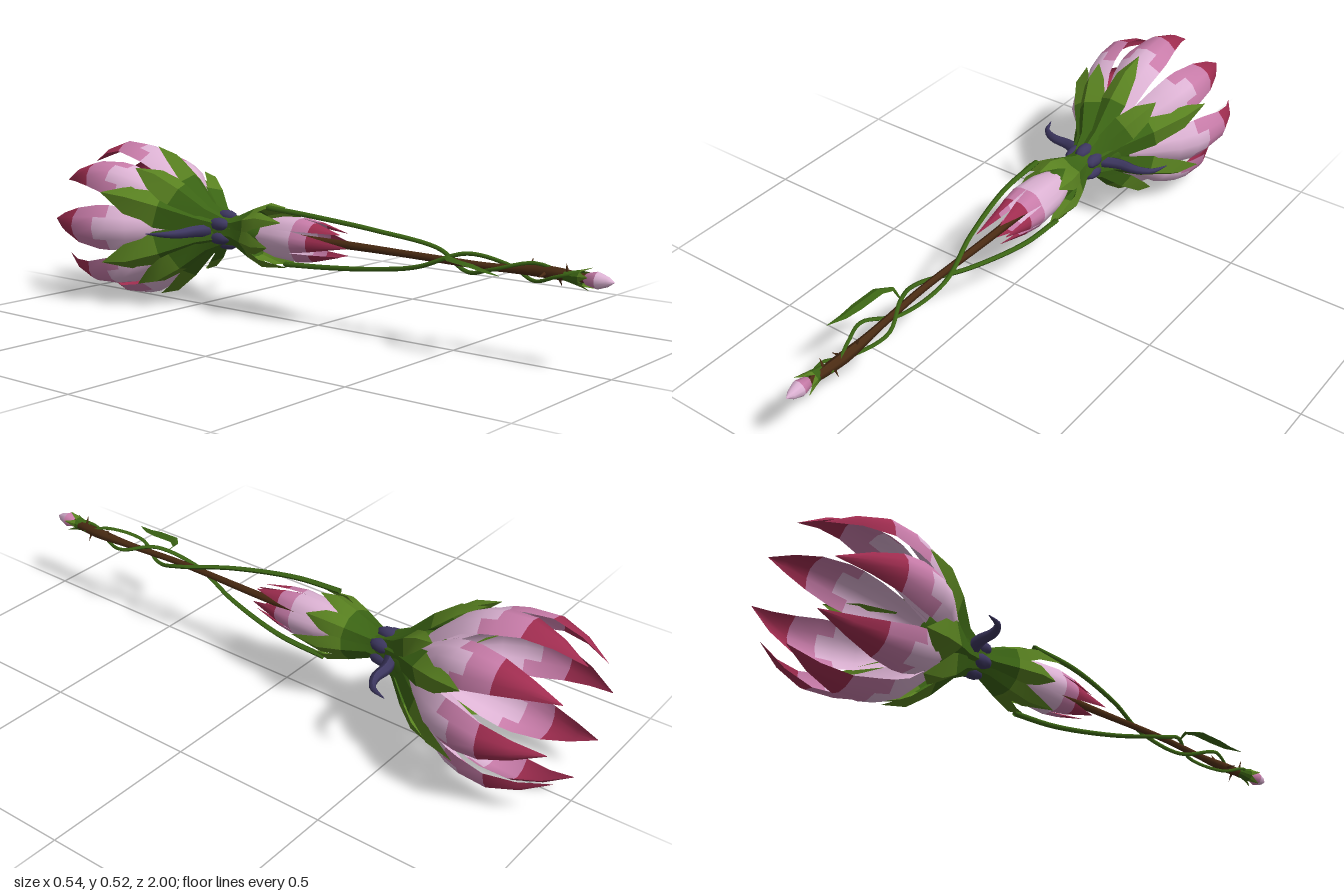
import * as THREE from 'three';
import { toCreasedNormals } from 'three/addons/utils/BufferGeometryUtils.js';

const AXIS_Y = 0.262; // height of the staff's long axis, which runs along z

function mat(name, color, side = THREE.FrontSide) {
  const m = new THREE.MeshStandardMaterial({ color, side });
  m.name = name;
  return m;
}

const D = THREE.DoubleSide;
const pale = mat('palePink', 0xdcb2d3, D);
const pink = mat('rosePink', 0xc87ca9, D);
const crimson = mat('crimson', 0xa02d50, D);
const leafGreen = mat('leafGreen', 0x588020, D);
const darkGreen = mat('darkGreen', 0x3b6414, D);
const purple = mat('dusk purple', 0x3d3760);
const brown = mat('stemBrown', 0x4a2b13);

// Petal or leaf: rows of [z, radius, halfWidth, sideways offset]. Each band between rows has one
// material, or a pair [edges, centre]. The cross-section is an arch, or a fold along the midrib.
function blade(name, rows, bands, { drop = 0.4, cols = 4, angle = 90, fold = false } = {}) {
  const pos = [], idx = [];
  const mats = [...new Set(bands.flat())];
  const geo = new THREE.BufferGeometry();
  rows.forEach(([z, r, w, off = 0], i) => {
    const a = rows[Math.max(0, i - 1)], b = rows[Math.min(rows.length - 1, i + 1)];
    const dz = b[0] - a[0], dr = b[1] - a[1], len = Math.hypot(dz, dr);
    const nz = -dr * Math.sign(dz) / len, nr = Math.abs(dz) / len;
    for (let c = 0; c <= cols; c++) {
      const u = (c / cols) * 2 - 1;
      const d = drop * w * (fold ? Math.abs(u) : u * u);
      pos.push(off + u * w, r - nr * d, z - nz * d);
    }
  });
  const dir = Math.sign(rows[rows.length - 1][0] - rows[0][0]);
  for (let i = 0; i < rows.length - 1; i++) {
    const [edge, centre = edge] = [bands[i]].flat();
    for (let c = 0; c < cols; c++) {
      const p = i * (cols + 1) + c, q = p + 1, s = p + cols + 1, t = s + 1;
      geo.addGroup(idx.length, 6, mats.indexOf(c === 0 || c === cols - 1 ? edge : centre));
      if (dir > 0) idx.push(p, s, q, q, s, t);
      else idx.push(p, q, s, q, t, s);
    }
  }
  geo.setAttribute('position', new THREE.Float32BufferAttribute(pos, 3));
  geo.setIndex(idx);
  const mesh = new THREE.Mesh(toCreasedNormals(geo, fold ? 0.6 : 0.9), mats);
  mesh.name = name;
  mesh.rotation.z = THREE.MathUtils.degToRad(angle - 90);
  return mesh;
}

// Tube along points whose thickness follows radiusAt(t)
function taperTube(name, points, radiusAt, material, segs = 24, sides = 6) {
  const path = new THREE.CatmullRomCurve3(points.map((p) => new THREE.Vector3(...p)));
  const geo = new THREE.TubeGeometry(path, segs, 1, sides);
  const p = geo.attributes.position, v = new THREE.Vector3();
  for (let i = 0; i < p.count; i++) {
    const t = Math.floor(i / (sides + 1)) / segs, c = path.getPointAt(t);
    v.fromBufferAttribute(p, i).sub(c).multiplyScalar(radiusAt(t)).add(c);
    p.setXYZ(i, v.x, v.y, v.z);
  }
  geo.computeVertexNormals();
  const mesh = new THREE.Mesh(geo, material);
  mesh.name = name;
  return mesh;
}

// Turned part around the long axis: points are [radius, z]
function turned(name, points, material, sides = 10) {
  const geo = new THREE.LatheGeometry(points.map(([r, z]) => new THREE.Vector2(r, z)), sides);
  const mesh = new THREE.Mesh(geo.rotateX(Math.PI / 2), material);
  mesh.name = name;
  return mesh;
}

export function createModel() {
  const model = new THREE.Group();
  model.name = 'flowerStaff';
  const staff = new THREE.Group();
  staff.name = 'staff';
  staff.position.y = AXIS_Y;
  model.add(staff);

  // Large blossom: eight arched petals, the two sideways ones a little wider spread
  for (let k = 0; k < 8; k++) {
    const f = k % 4 === 0 ? 1.035 : 1;
    const w = k % 2 ? 0.92 : 1;
    const petal = [[-0.46, 0.04, 0.025], [-0.54, 0.125, 0.05], [-0.63, 0.21, 0.069], [-0.69, 0.241, 0.074],
      [-0.74, 0.254, 0.073], [-0.83, 0.26, 0.058], [-0.92, 0.23, 0.032], [-1, 0.18, 0.001]]
      .map(([z, r, h]) => [z, r * f, h * w]);
    staff.add(blade('blossomPetal', petal, [pale, pale, pale, [pink, pale], pink, crimson, crimson],
      { angle: k * 45, drop: 0.52 }));
  }

  // Green cup holding the blossom, narrowing to the node
  staff.add(turned('calyxCup', [[0.02, -0.53], [0.1, -0.52], [0.085, -0.47], [0.055, -0.4], [0.045, -0.34],
    [0.05, -0.27], [0.055, -0.2], [0.02, -0.17]], darkGreen));

  // Calyx leaves: [angle, tip radius, tip z, half width]
  const leaves = [[90, 0.25, -0.69, 0.046], [52, 0.205, -0.6, 0.045], [28, 0.255, -0.75, 0.052],
    [-27, 0.25, -0.74, 0.052], [-53, 0.21, -0.6, 0.045], [-90, 0.25, -0.69, 0.046],
    [125, 0.235, -0.66, 0.06], [153, 0.255, -0.73, 0.064], [207, 0.255, -0.73, 0.064], [235, 0.235, -0.66, 0.06]];
  for (const [angle, r, z, w] of leaves) {
    const at = (t, s, k) => [-0.36 + (z + 0.36) * t, 0.045 + (r - 0.045) * s, w * k];
    staff.add(blade('calyxLeaf', [at(0, 0, 0.5), at(0.25, 0.2, 0.75), at(0.5, 0.6, 1), at(0.75, 0.9, 0.75), at(1, 1, 0.01)],
      [darkGreen, darkGreen, leafGreen, leafGreen], { angle, cols: 2, fold: true, drop: 0.6 }));
  }

  // Purple node: curved horns on both sides and a ring of long knobs
  for (const s of [-1, 1]) {
    staff.add(taperTube('horn', [[0.03 * s, 0, -0.41], [0.1 * s, 0, -0.437], [0.16 * s, 0, -0.44],
      [0.205 * s, 0, -0.465], [0.228 * s, 0, -0.52]], (t) => 0.019 * (1 - t * t) + 0.001, purple, 14));
  }
  for (let k = 0; k < 6; k++) {
    const a = (k * Math.PI) / 3 + Math.PI / 2;
    const knob = new THREE.Mesh(new THREE.SphereGeometry(0.022, 8, 6), purple);
    knob.name = 'nodeKnob';
    knob.scale.z = 2;
    knob.position.set(0.043 * Math.cos(a), 0.043 * Math.sin(a), -0.38);
    staff.add(knob);
  }

  // Smaller bud facing the other way: bracts over pink petals
  for (let k = 0; k < 7; k++) {
    const tip = k % 2 ? -0.09 : -0.13;
    staff.add(blade('budBract', [[-0.41, 0.05, 0.025], [-0.33, 0.05, 0.03], [-0.26, 0.08, 0.042], [-0.19, 0.104, 0.03],
      [tip, 0.095, 0.001]], [darkGreen, darkGreen, leafGreen, leafGreen],
    { angle: 90 + (k * 360) / 7, cols: 2, fold: true, drop: 0.5 }));
  }
  for (let k = 0; k < 6; k++) {
    const tip = k === 3 ? 0.14 : 0.1;
    staff.add(blade('budPetal', [[-0.26, 0.04, 0.025], [-0.15, 0.067, 0.036], [-0.06, 0.072, 0.033], [0, 0.064, 0.025],
      [tip, 0.04, 0.001]], [pale, pale, pink, crimson], { angle: k * 60, drop: 0.4 }));
  }

  // Slender stem, thicker inside the bud and towards the far end
  staff.add(taperTube('stem', [[0, 0, -0.3], [0.004, 0.002, 0.1], [-0.004, 0, 0.45], [0.002, -0.003, 0.62],
    [0.014, 0.002, 0.78], [0.004, 0, 0.92]],
  (t) => 0.011 + 0.005 * Math.max(0, 1 - 2 * t) + 0.007 * Math.exp(-(((t - 0.9) / 0.08) ** 2)), brown, 30));

  // Two vines, opposite each other, closing in and twining around the stem
  const vine = [[-0.04, 0.095, -0.17], [-0.038, 0.085, 0], [0, 0.058, 0.22], [0.047, 0.02, 0.41], [0, -0.026, 0.54],
    [-0.046, 0, 0.65], [0, 0.025, 0.76], [0.022, 0, 0.84], [0, -0.016, 0.9]];
  for (const s of [-1, 1]) {
    staff.add(taperTube('vine', vine.map(([x, y, z]) => [x * s, y * s, z]), (t) => 0.009 - 0.004 * t, darkGreen, 60, 5));
  }

  // Single leaf hanging off a vine
  staff.add(blade('vineLeaf', [[0.52, 0.01, 0.006, -0.02], [0.505, 0.025, 0.012, -0.055], [0.54, 0.026, 0.018, -0.083],
    [0.62, 0.018, 0.018, -0.092], [0.67, 0.008, 0.012, -0.1], [0.72, 0, 0.001, -0.115]],
  Array(5).fill(darkGreen), { cols: 2, fold: true, drop: 0.4 }));

  // Closed two-tone tip bud with sepals and a few thorns
  staff.add(turned('tipBudBase', [[0, 0.9], [0.017, 0.92], [0.024, 0.95]], pink));
  staff.add(turned('tipBudPoint', [[0.024, 0.95], [0.014, 0.98], [0, 1]], pale));
  for (let k = 0; k < 5; k++) {
    staff.add(blade('tipSepal', [[0.85, 0.012, 0.007], [0.9, 0.023, 0.013], [0.935, 0.033, 0.001]],
      [darkGreen, leafGreen], { angle: 90 + k * 72, cols: 2, fold: true }));
  }
  [[60, 0.74], [190, 0.79], [300, 0.83], [110, 0.86]].forEach(([deg, z]) => {
    const thorn = new THREE.Mesh(new THREE.ConeGeometry(0.006, 0.035, 5).translate(0, 0.024, 0), brown);
    thorn.name = 'thorn';
    thorn.position.set(0.006, 0, z);
    thorn.rotation.z = THREE.MathUtils.degToRad(deg - 90);
    staff.add(thorn);
  });

  return model;
}
